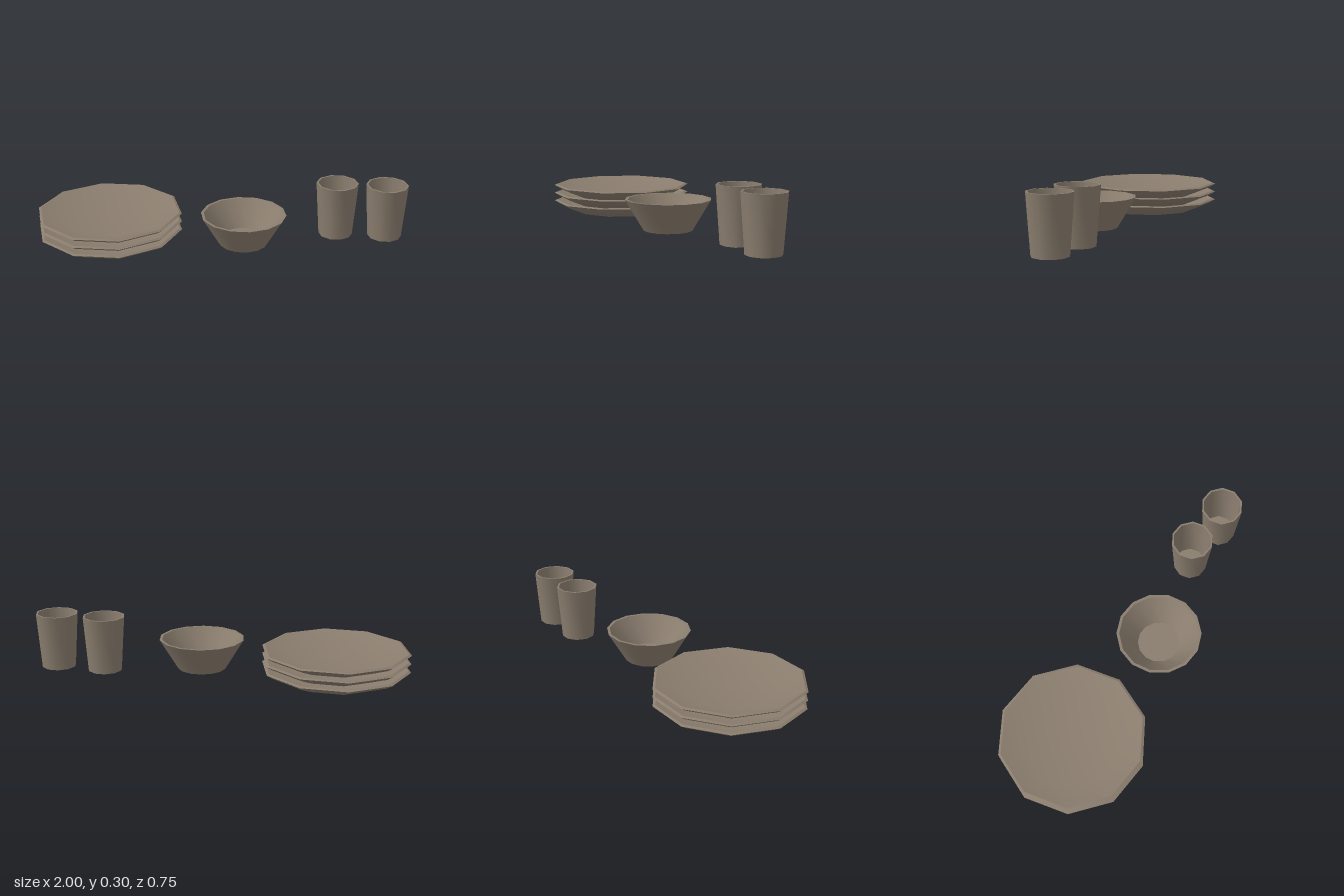
import * as THREE from 'three';
import { toCreasedNormals } from 'three/addons/utils/BufferGeometryUtils.js';

export function createModel() {
  const clay = new THREE.MeshStandardMaterial({ color: 0x8a7d6e });
  clay.name = 'clay brown';
  const model = new THREE.Group();
  model.name = 'tableware';

  // Profile runs from the bottom centre, up the outside, and down the inside
  const turned = (profile, sides) => toCreasedNormals(
    new THREE.LatheGeometry(profile.map(([r, y]) => new THREE.Vector2(r, y)), sides, Math.PI / 2),
    THREE.MathUtils.degToRad(40)
  );
  const add = (name, geometry, x, y, z) => {
    const mesh = new THREE.Mesh(geometry, clay);
    mesh.name = name;
    mesh.position.set(x, y, z);
    model.add(mesh);
  };

  // Stack of three shallow plates
  const plate = turned([
    [0, 0], [0.263, 0], [0.364, 0.041], [0.394, 0.061],
    [0.381, 0.067], [0.27, 0.034], [0, 0.026],
  ], 10);
  for (let i = 0; i < 3; i++) add(`plate${i + 1}`, plate, -0.606, i * 0.046, 0);

  // Open bowl with a flat floor
  const bowl = turned([
    [0, 0], [0.131, 0], [0.23, 0.166], [0.215, 0.166], [0.115, 0.03], [0, 0.03],
  ], 14);
  add('bowl', bowl, 0.122, 0, 0);

  // Pair of tapered cups
  const cup = turned([
    [0, 0], [0.092, 0], [0.114, 0.298], [0.104, 0.298], [0.084, 0.02], [0, 0.02],
  ], 10);
  add('leftCup', cup, 0.886, 0, -0.166);
  add('rightCup', cup, 0.618, 0, -0.166);

  return model;
}
